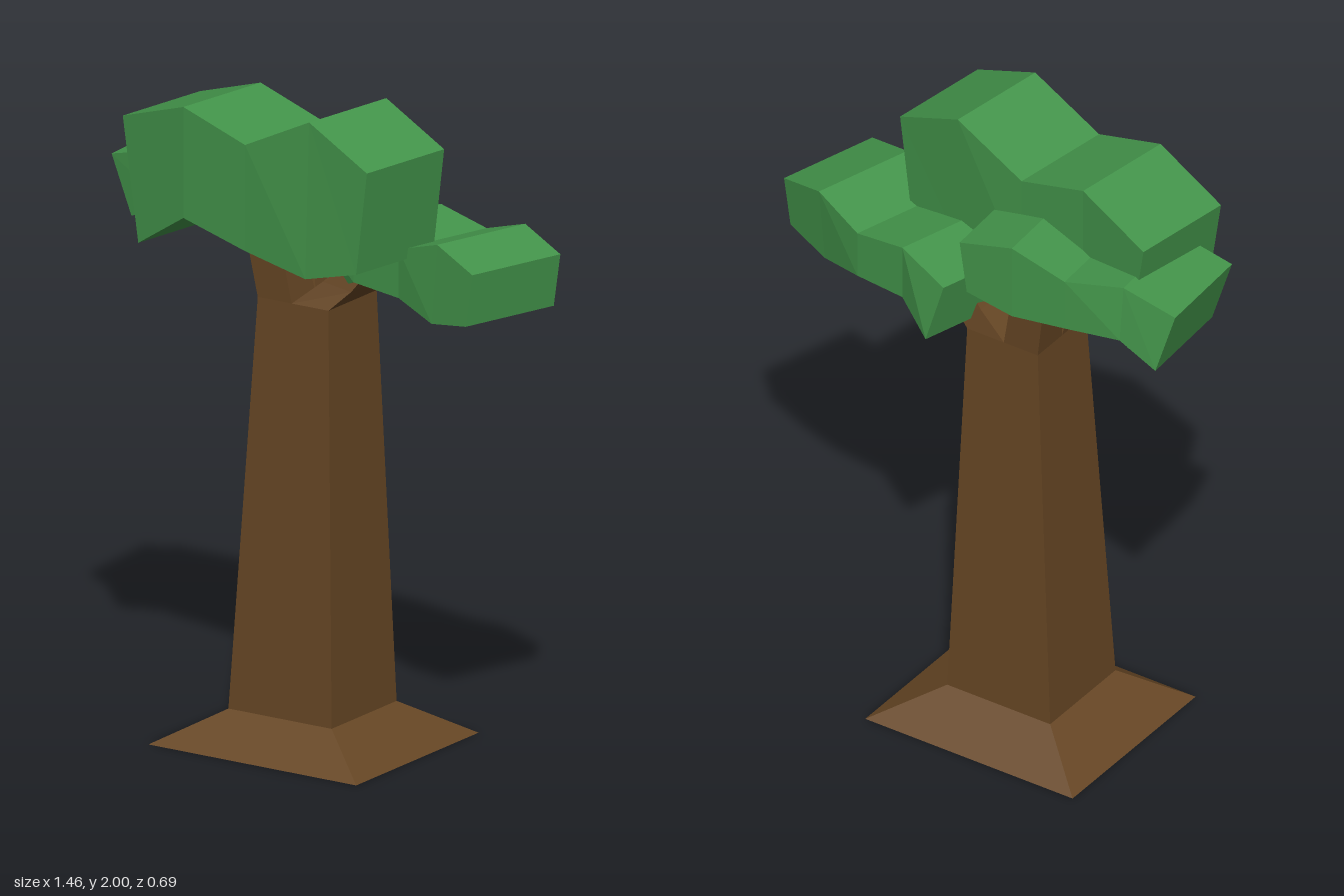
import * as THREE from 'three';

const bark = new THREE.MeshStandardMaterial({ color: 0x664624 });
bark.name = 'bark brown';
const leaf = new THREE.MeshStandardMaterial({ color: 0x43944a });
leaf.name = 'leaf green';

// Skins a series of four-cornered rings and caps both ends, with faceted normals
function loft(name, rings, material) {
  const pos = [];
  const quad = (a, b, c, d) => pos.push(...a, ...b, ...c, ...a, ...c, ...d);
  for (let r = 0; r < rings.length - 1; r++) {
    const a = rings[r], b = rings[r + 1];
    for (let i = 0; i < 4; i++) {
      const j = (i + 1) % 4;
      quad(a[i], a[j], b[j], b[i]);
    }
  }
  quad(...[...rings[0]].reverse());
  quad(...rings[rings.length - 1]);
  const geometry = new THREE.BufferGeometry();
  geometry.setAttribute('position', new THREE.Float32BufferAttribute(pos, 3));
  geometry.computeVertexNormals();
  const mesh = new THREE.Mesh(geometry, material);
  mesh.name = name;
  return mesh;
}

// Horizontal rectangle at height y
const level = (y, x0, x1, z0, z1) => [[x0, y, z1], [x1, y, z1], [x1, y, z0], [x0, y, z0]];

// Foliage slab: stations run along x as [topX, topY, topZ, bottomX, bottomY, bottomZ]
// of the front face; the back face is shifted by (dx, dz)
function clump(name, dx, dz, stations) {
  const rings = stations.map(([tx, ty, tz, bx, by, bz]) => [
    [tx, ty, tz], [bx, by, bz], [bx + dx, by, bz + dz], [tx + dx, ty, tz + dz],
  ]);
  return loft(name, rings, leaf);
}

export function createModel() {
  const tree = new THREE.Group();
  tree.name = 'tree';

  // Trunk with flared foot
  tree.add(loft('trunk', [
    level(0, -0.465, 0.27, -0.345, 0.295),
    level(0.105, -0.28, 0.085, -0.19, 0.15),
    level(1.365, -0.21, 0.04, -0.152, 0.1),
  ], bark));

  // Three branches splitting from the trunk top
  tree.add(loft('frontBranch', [
    level(1.365, -0.21, -0.09, -0.026, 0.1),
    level(1.64, -0.265, -0.145, 0.01, 0.11),
  ], bark));
  tree.add(loft('backBranch', [
    level(1.365, -0.21, -0.09, -0.152, -0.026),
    level(1.62, -0.25, -0.14, -0.17, -0.07),
  ], bark));
  tree.add(loft('sideBranch', [
    level(1.365, -0.09, 0.04, -0.152, 0.1),
    [[0.0, 1.44, 0.07], [0.1, 1.425, 0.07], [0.1, 1.425, -0.14], [0.0, 1.44, -0.14]],
    level(1.52, 0.08, 0.17, -0.12, 0.04),
  ], bark));

  // Foliage
  tree.add(clump('frontFoliage', 0.05, -0.33, [
    [-0.63, 1.87, 0.185, -0.565, 1.495, 0.2],
    [-0.375, 1.955, 0.245, -0.375, 1.615, 0.245],
    [-0.14, 1.885, 0.27, -0.14, 1.56, 0.27],
    [0.1, 2.0, 0.29, 0.1, 1.525, 0.31],
    [0.335, 1.895, 0.335, 0.3, 1.58, 0.34],
  ]));
  tree.add(clump('sideFoliage', 0.095, -0.32, [
    [-0.065, 1.59, 0.03, -0.015, 1.4, 0.01],
    [0.115, 1.635, 0.08, 0.115, 1.46, 0.08],
    [0.295, 1.6, 0.11, 0.295, 1.45, 0.11],
    [0.465, 1.655, 0.16, 0.455, 1.415, 0.175],
    [0.63, 1.605, 0.22, 0.61, 1.445, 0.225],
  ]));
  tree.add(clump('backFoliage', 0.02 - 0.04, -0.325, [
    [-0.71, 1.725, 0.125, -0.66, 1.535, 0.095],
    [-0.53, 1.765, 0.12, -0.53, 1.59, 0.1],
    [-0.345, 1.735, 0.085, -0.345, 1.57, 0.085],
    [-0.165, 1.79, 0.075, -0.165, 1.55, 0.075],
    [0.02, 1.74, 0.075, -0.005, 1.575, 0.075],
  ]));
  return tree;
}
